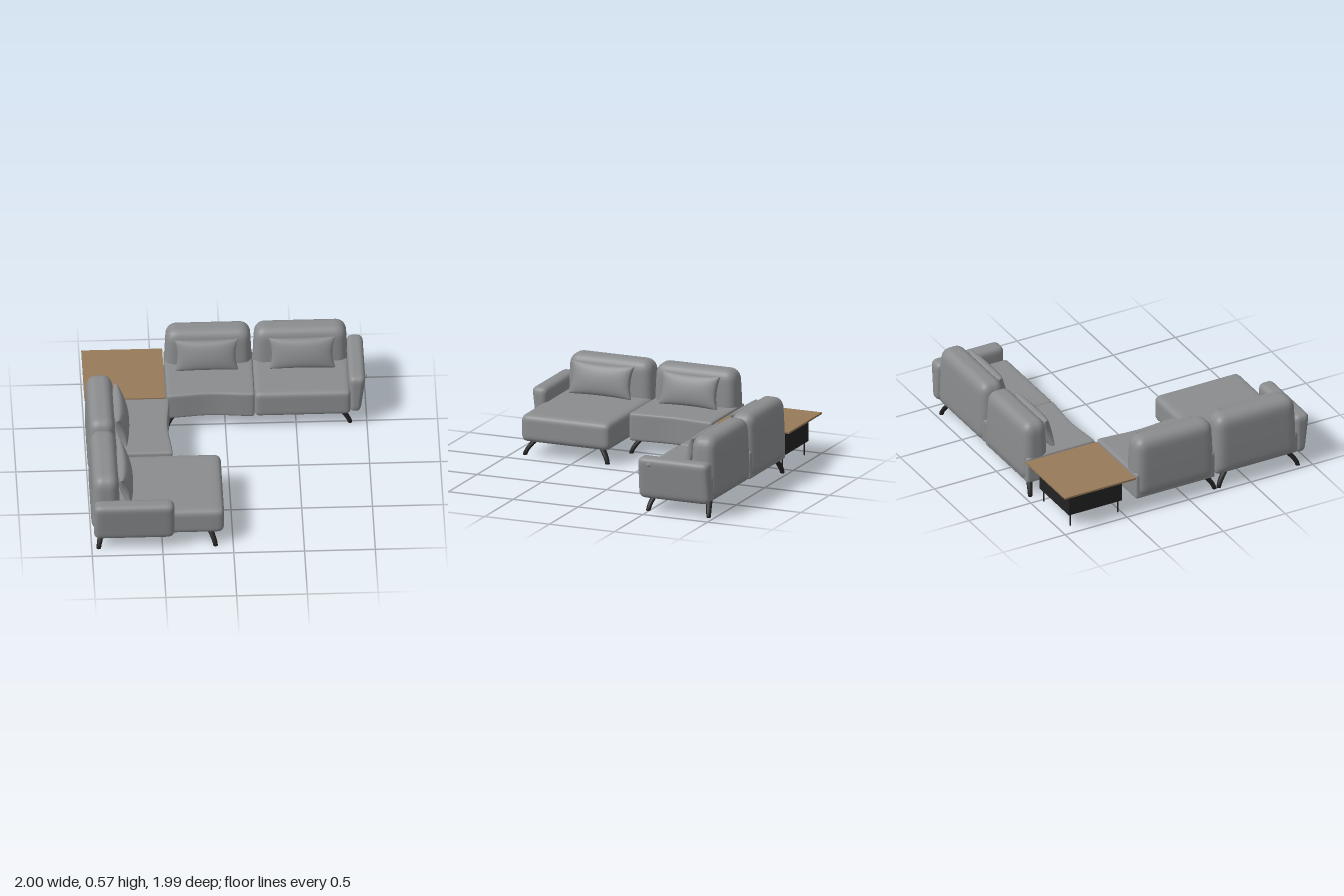
import * as THREE from 'three';
import { mergeVertices } from 'three/addons/utils/BufferGeometryUtils.js';

const paint = (name, color) => {
  const m = new THREE.MeshStandardMaterial({ color });
  m.name = name;
  return m;
};

export function createModel() {
  const fabric = paint('grey fabric', 0x8a8c8e);
  const wood = paint('brown wood', 0x977a5a);
  const black = paint('black metal', 0x222222);

  const add = (parent, name, geometry, material) => {
    const mesh = new THREE.Mesh(geometry, material);
    mesh.name = name;
    parent.add(mesh);
    return mesh;
  };

  // Move every vertex by a rule, then weld and smooth
  const reshape = (geometry, rule) => {
    geometry.deleteAttribute('uv');
    geometry.deleteAttribute('normal');
    const pos = geometry.attributes.position;
    const p = new THREE.Vector3();
    for (let i = 0; i < pos.count; i++) {
      rule(p.fromBufferAttribute(pos, i));
      pos.setXYZ(i, p.x, p.y, p.z);
    }
    const welded = mergeVertices(geometry, 1e-5);
    welded.computeVertexNormals();
    return welded;
  };

  // Upholstered block between two corners, with round edges and an optional warp
  const softBox = (x0, x1, y0, y1, z0, z1, r, warp) => {
    const half = new THREE.Vector3(x1 - x0, y1 - y0, z1 - z0).multiplyScalar(0.5);
    const mid = new THREE.Vector3(x0 + x1, y0 + y1, z0 + z1).multiplyScalar(0.5);
    const inner = half.clone().subScalar(r);
    const outer = inner.clone().negate();
    const q = new THREE.Vector3();
    return reshape(new THREE.BoxGeometry(2, 2, 2, 24, 20, 20), (p) => {
      for (const a of ['x', 'y', 'z']) p[a] = Math.sin(p[a] * Math.PI / 2) * half[a];
      q.copy(p).clamp(outer, inner);
      p.sub(q).normalize().multiplyScalar(r).add(q).add(mid);
      if (warp) warp(p);
    });
  };

  // Backrest that narrows slightly upward
  const addBack = (sofa, x0, x1) => {
    const cx = (x0 + x1) / 2, cz = -0.9;
    add(sofa, 'backrest', softBox(x0, x1, 0.107, 0.572, -1, -0.795, 0.075, (p) => {
      const t = (p.y - 0.107) / 0.465;
      p.x = cx + (p.x - cx) * (1 - 0.05 * t * t);
      p.z = cz + (p.z - cz) * (1 - 0.14 * t * t);
    }), fabric);
  };

  // Armrest that flares outward; side is +1 or -1
  const addArm = (sofa, side, z0, z1) => {
    const x = [0.87 * side, 0.995 * side].sort((a, b) => a - b);
    add(sofa, 'armrest', softBox(x[0], x[1], 0.107, 0.412, z0, z1, 0.045, (p) => {
      const t = (p.y - 0.107) / 0.305;
      p.x = side * (0.87 + (Math.abs(p.x) - 0.87) * (0.6 + 0.4 * t) + 0.01 * (1 - t));
    }), fabric);
  };

  // Scatter cushion with pinched corners, leaning on the backrest
  const addPillow = (sofa, cx, width) => {
    const g = reshape(new THREE.BoxGeometry(2, 2, 2, 24, 18, 1), (p) => {
      const u = Math.sin(p.x * Math.PI / 2), v = Math.sin(p.y * Math.PI / 2);
      const puff = Math.pow((1 - u * u) * (1 - v * v), 0.4);
      p.set(
        u * width / 2 * (1 - 0.09 * (1 - v * v)),
        v * 0.118 * (1 - 0.07 * (1 - u * u)),
        Math.sign(p.z) * (0.004 + 0.05 * puff));
    });
    const pillow = add(sofa, 'pillow', g, fabric);
    pillow.position.set(cx, 0.42, -0.757);
    pillow.rotation.x = -0.25;
  };

  // Curved tapering leg: foot position and the offset of its top
  const addLeg = (sofa, x, z, dx, dz) => {
    const g = reshape(new THREE.CylinderGeometry(0.024, 0.016, 0.12, 12, 8), (p) => {
      const t = p.y / 0.12 + 0.5;
      const bend = Math.pow(t, 1.5);
      p.set(x + p.x + dx * bend, t * 0.12, z + p.z + dz * bend);
    });
    add(sofa, 'leg', g, black);
  };

  // Gentle wave along the front edge of the open-ended seat
  const wave = (x0, x1) => (p) => {
    const s = Math.sin(Math.PI * (p.x - x0) / (x1 - x0));
    if (p.z > -0.6) p.z -= 0.022 * s * s;
  };

  const model = new THREE.Group();
  model.name = 'cornerSofaSet';

  // Two-seat sofa along the back
  const backSofa = new THREE.Group();
  backSofa.name = 'backSofa';
  model.add(backSofa);
  add(backSofa, 'openSeat', softBox(-0.417, 0.205, 0.107, 0.31, -0.98, -0.432, 0.018, wave(-0.417, 0.205)), fabric);
  add(backSofa, 'endSeat', softBox(0.205, 0.885, 0.107, 0.31, -0.98, -0.425, 0.035), fabric);
  addBack(backSofa, -0.417, 0.203);
  addBack(backSofa, 0.207, 0.882);
  addArm(backSofa, 1, -0.99, -0.445);
  addPillow(backSofa, -0.123, 0.45);
  addPillow(backSofa, 0.553, 0.47);
  for (const [z, dz] of [[-0.49, -0.03], [-0.955, 0.03]]) {
    addLeg(backSofa, 0.88, z, -0.085, dz);
    addLeg(backSofa, -0.41, z, 0.07, dz);
  }
  const button = add(backSofa, 'armButton', new THREE.SphereGeometry(0.014, 16, 10), fabric);
  button.scale.x = 0.6;
  button.position.set(0.993, 0.365, -0.54);

  // Chaise sofa along the side, built facing front and turned a quarter
  const sideSofa = new THREE.Group();
  sideSofa.name = 'sideSofa';
  sideSofa.rotation.y = Math.PI / 2;
  model.add(sideSofa);
  add(sideSofa, 'openSeat', softBox(-0.225, 0.415, 0.107, 0.31, -0.98, -0.4, 0.018, wave(-0.225, 0.415)), fabric);
  add(sideSofa, 'chaiseSeat', softBox(-0.915, -0.23, 0.107, 0.308, -0.98, -0.063, 0.045), fabric);
  addBack(sideSofa, -0.225, 0.415);
  addBack(sideSofa, -0.892, -0.229);
  addArm(sideSofa, -1, -0.985, -0.418);
  addPillow(sideSofa, 0.085, 0.45);
  addPillow(sideSofa, -0.593, 0.48);
  for (const [z, dz] of [[-0.125, -0.05], [-0.95, 0.03]]) {
    addLeg(sideSofa, -0.905, z, 0.08, dz);
    addLeg(sideSofa, -0.268, z, -0.075, dz);
  }
  addLeg(sideSofa, -0.232, -0.46, 0.075, -0.05);
  addLeg(sideSofa, -0.232, -0.95, 0.075, 0.03);

  // Corner table: wooden top, dark box and thin legs
  const table = new THREE.Group();
  table.name = 'cornerTable';
  table.position.set(-0.712, 0, -0.714);
  model.add(table);
  const top = add(table, 'tableTop', new THREE.BoxGeometry(0.572, 0.014, 0.572), wood);
  top.position.y = 0.293;
  const box = add(table, 'tableBox', new THREE.BoxGeometry(0.43, 0.186, 0.43), black);
  box.position.y = 0.193;
  for (const sx of [-1, 1]) for (const sz of [-1, 1]) {
    const leg = add(table, 'tableLeg', new THREE.CylinderGeometry(0.006, 0.006, 0.11, 10), black);
    leg.position.set(sx * 0.192, 0.055, sz * 0.192);
  }
  return model;
}
